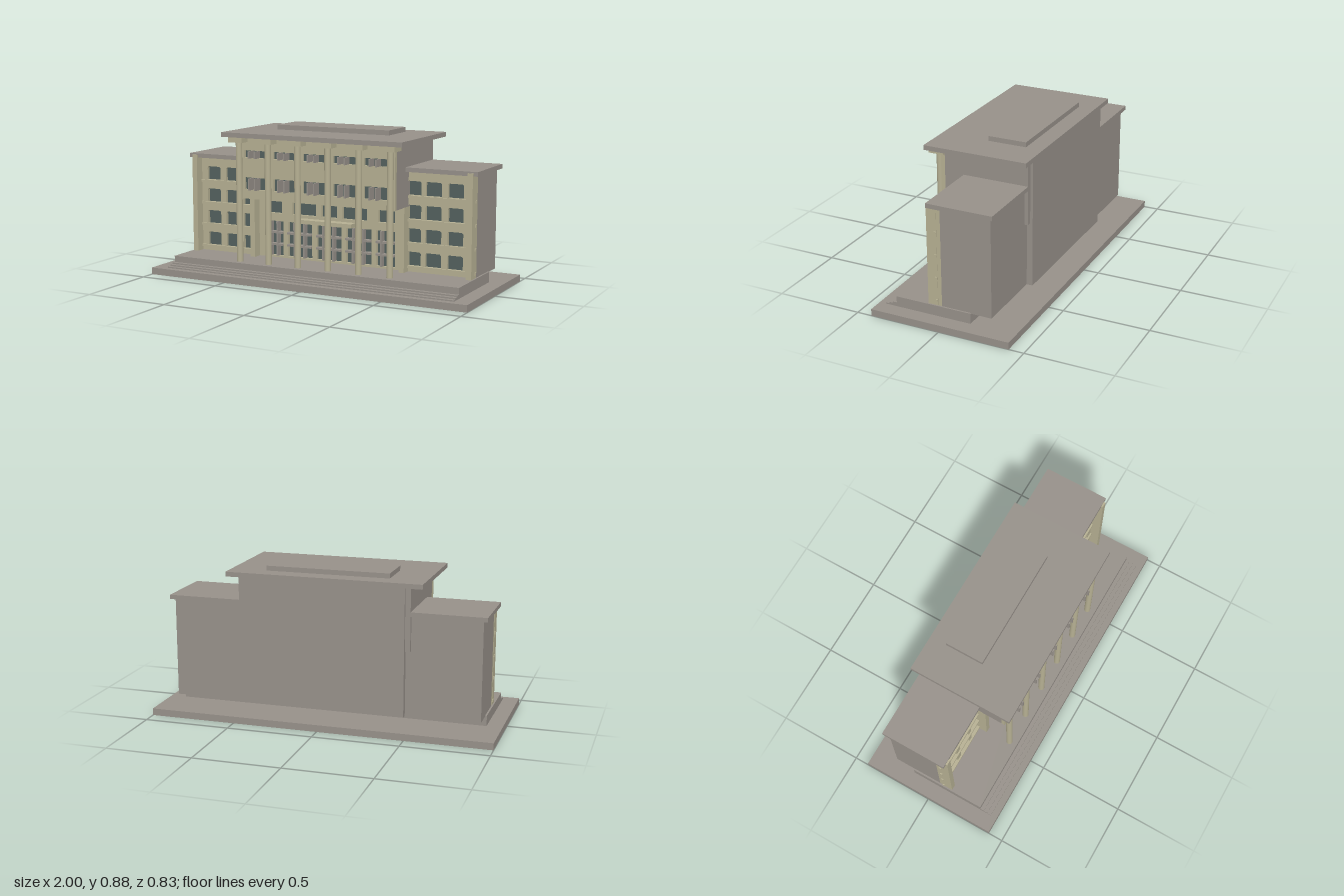
import * as THREE from 'three';

const mat = (name, color) => {
  const m = new THREE.MeshStandardMaterial({ color });
  m.name = name;
  return m;
};

export function createModel() {
  const stone = mat('greyStone', 0x969089);
  const plaster = mat('beigePlaster', 0xb5af92);
  const glass = mat('darkGlass', 0x53615e);
  const model = new THREE.Group();
  model.name = 'publicBuilding';

  // Box given by its limits on each axis
  const box = (name, m, x0, x1, y0, y1, z0, z1, parent = model) => {
    const mesh = new THREE.Mesh(new THREE.BoxGeometry(x1 - x0, y1 - y0, z1 - z0), m);
    mesh.position.set((x0 + x1) / 2, (y0 + y1) / 2, (z0 + z1) / 2);
    mesh.name = name;
    parent.add(mesh);
    return mesh;
  };

  // Wall slab with window openings [x0, x1, y0, y1], top corners cut by c
  const wall = (name, x0, x1, y0, y1, z0, z1, openings, c = 0) => {
    const shape = new THREE.Shape([[x0, y0], [x1, y0], [x1, y1], [x0, y1]].map(p => new THREE.Vector2(...p)));
    for (const [a, b, d, e] of openings) {
      const pts = c ? [[a, d], [a, e - c], [a + c, e], [b - c, e], [b, e - c], [b, d]]
        : [[a, d], [a, e], [b, e], [b, d]];
      shape.holes.push(new THREE.Path(pts.map(p => new THREE.Vector2(...p))));
    }
    const geo = new THREE.ExtrudeGeometry(shape, { depth: z1 - z0, bevelEnabled: false });
    const mesh = new THREE.Mesh(geo, plaster);
    mesh.position.z = z0;
    mesh.name = name;
    model.add(mesh);
    // glazing behind the openings
    openings.forEach(([a, b, d, e]) =>
      box(name + 'Glass', glass, a - 0.003, b + 0.003, d - 0.003, e + 0.003, z0 - 0.001, z0 + 0.006));
  };

  // Ground slab, podium and front steps
  box('groundSlab', stone, -1, 1, 0, 0.04, -0.413, 0.413);
  box('podium', stone, -0.91, 0.91, 0.04, 0.1, -0.145, 0.305);
  [0.063, 0.055, 0.047].forEach((top, i) =>
    box('step', stone, -0.91, 0.91, 0.04, top, 0.3, 0.328 + i * 0.0235));

  // Central block: tall rear body and overhanging upper storeys
  box('centralBody', stone, -0.47, 0.47, 0.095, 0.83, -0.3, 0.03);
  box('upperStoreys', stone, -0.5, 0.5, 0.47, 0.83, -0.285, 0.215);
  box('mainRoof', stone, -0.57, 0.57, 0.83, 0.857, -0.307, 0.306);
  box('roofTopBox', stone, -0.36, 0.36, 0.857, 0.885, -0.207, 0.02);

  // Upper facade windows, five bays in two rows, with projecting fins
  const bays = [-2, -1, 0, 1, 2].map(i => i * 0.192);
  const upper = [];
  for (const x of bays) {
    for (const [y0, y1] of [[0.525, 0.595], [0.71, 0.752]]) {
      upper.push([x - 0.072, x + 0.072, y0, y1]);
      for (const dx of [-0.02, 0.02])
        box('windowFin', stone, x + dx - 0.004, x + dx + 0.004, y0, y1, 0.215, 0.28);
    }
  }
  wall('upperFacade', -0.5, 0.5, 0.47, 0.83, 0.215, 0.236, upper);

  // Lower recessed facade: mezzanine strip windows above the glazed entrance
  const lower = [];
  [[-0.367, 0.052], [-0.165, 0.078], [0, 0.05], [0.165, 0.078], [0.367, 0.052]].forEach(([x, h]) =>
    lower.push([x - h, x + h, 0.365, 0.435]));
  for (const x of bays) {
    const x0 = Math.max(x - 0.08, -0.42), x1 = Math.min(x + 0.08, 0.42);
    lower.push([x0, x1, 0.112, 0.318]);
    for (const y of [0.18, 0.252])
      box('entranceTransom', stone, x0, x1, y - 0.006, y + 0.006, 0.03, 0.07);
    for (const t of [0.3, 0.7]) {
      const mx = x0 + (x1 - x0) * t;
      box('entranceMullion', stone, mx - 0.005, mx + 0.005, 0.112, 0.318, 0.03, 0.072);
    }
  }
  wall('lowerFacade', -0.47, 0.47, 0.1, 0.47, 0.03, 0.055, lower);
  box('entranceCanopy', plaster, -0.175, 0.17, 0.325, 0.348, 0.05, 0.11);

  // Round columns with square capitals
  for (const x of [-0.481, -0.289, -0.096, 0.096, 0.289, 0.481]) {
    const col = new THREE.Mesh(new THREE.CylinderGeometry(0.0185, 0.0185, 0.73, 16), plaster);
    col.position.set(x, 0.465, 0.256);
    col.name = 'column';
    model.add(col);
    box('capital', plaster, x - 0.045, x + 0.045, 0.8, 0.83, 0.21, 0.3);
  }

  // Side wings
  for (const s of [1, -1]) {
    const span = (a, b) => (s > 0 ? [a, b] : [-b, -a]);
    box('wingBody', stone, ...span(0.47, 0.9), 0.095, 0.67, -0.265, 0.03);
    box('wingRoof', stone, ...span(0.5, 0.925), 0.67, 0.695, -0.286, 0.1);
    const openings = [];
    for (const y of [0.134, 0.267, 0.4, 0.535])
      for (const [a, b] of [[0.495, 0.578], [0.604, 0.7], [0.738, 0.83]])
        openings.push([...span(a, b), y, y + 0.08]);
    wall('wingFacade', ...span(0.47, 0.9), 0.1, 0.67, 0.03, 0.055, openings, 0.008);
    for (const y of [0.128, 0.262, 0.393, 0.526])
      box('wingSill', plaster, ...span(0.5, 0.908), y - 0.008, y + 0.007, 0.051, 0.065);
    box('outerPilaster', plaster, ...span(0.87, 0.902), 0.1, 0.686, 0.052, 0.111);
    box('innerPilaster', plaster, ...span(0.468, 0.5), 0.1, 0.475, 0.03, 0.111);
  }
  return model;
}
